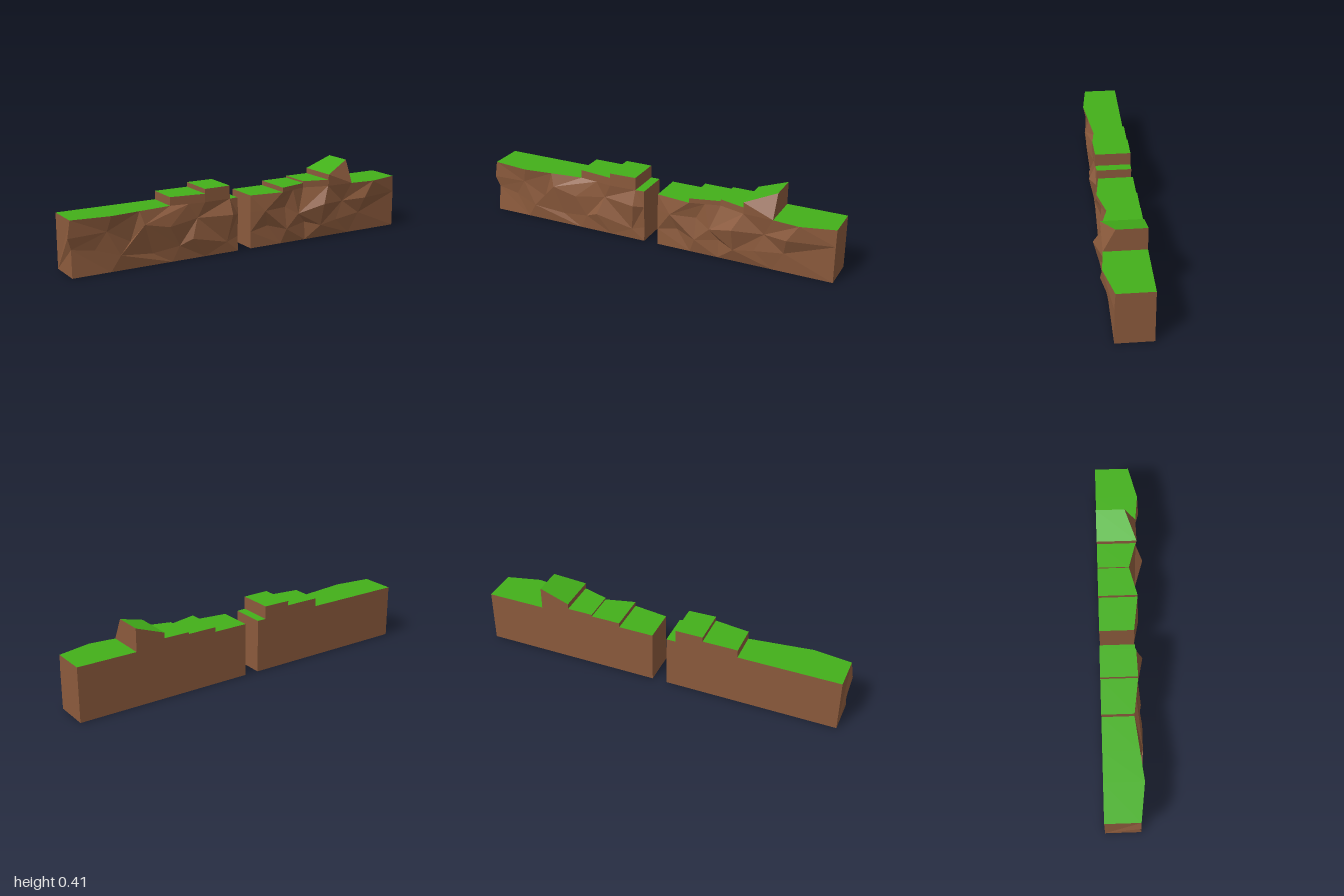
import * as THREE from 'three';

const BACK = -0.125, TOP = 0.29, FOOT = 0.065;
const earth = new THREE.MeshStandardMaterial({ color: 0x8b5a3c, flatShading: true });
const grass = new THREE.MeshStandardMaterial({ color: 0x43b01a, flatShading: true });

// Mesh from convex polygons, corners counter-clockwise seen from outside
function polyMesh(name, polys, material) {
  const pos = [];
  for (const p of polys)
    for (let i = 1; i < p.length - 1; i++) pos.push(...p[0], ...p[i], ...p[i + 1]);
  const geo = new THREE.BufferGeometry();
  geo.setAttribute('position', new THREE.Float32BufferAttribute(pos, 3));
  geo.computeVertexNormals();
  const mesh = new THREE.Mesh(geo, material);
  mesh.name = name;
  return mesh;
}

// Solid lofted through columns; each column lists its front points from bottom to top
function cliffSolid(name, columns) {
  const soil = [], turf = [];
  const back = (p) => [p[0], p[1], BACK];
  const last = columns[0].length - 1;
  for (let i = 0; i < columns.length - 1; i++) {
    const a = columns[i], b = columns[i + 1];
    for (let r = 0; r < last; r++) {
      if ((i + r) % 2) soil.push([a[r], b[r], b[r + 1], a[r + 1]]);
      else soil.push([b[r], b[r + 1], a[r + 1], a[r]]);
    }
    turf.push([a[last], b[last], back(b[last]), back(a[last])]);
    soil.push([back(b[0]), back(a[0]), back(a[last]), back(b[last])]);
    soil.push([back(a[0]), back(b[0]), b[0], a[0]]);
  }
  const s = columns[0], e = columns[columns.length - 1];
  soil.push([back(s[0]), ...s, back(s[last])]);
  soil.push([back(e[0]), back(e[last]), ...e.slice().reverse()]);
  const group = new THREE.Group();
  group.name = name;
  group.add(polyMesh(name + 'Earth', soil, earth), polyMesh(name + 'Grass', turf, grass));
  return group;
}

// Main block: [x, top z, upper x, y, z, lower x, y, z] per column
const block = (name, rows) => cliffSolid(name, rows.map(([x, zt, ux, uy, uz, lx, ly, lz]) =>
  [[x, 0, FOOT], [lx, ly, lz], [ux, uy, uz], [x, TOP, zt]]));

// Raised step: [x, height, base z, top z] at each side
const step = (name, sides) => cliffSolid(name, sides.map(([x, h, zb, zt]) =>
  [[x, TOP, zb], [x, h, zt]]));

export function createModel() {
  const model = new THREE.Group();
  model.name = 'cliffWall';

  model.add(block('leftBlock', [
    [-0.985, 0.06, -1.0, 0.2, 0.06, -0.98, 0.14, 0.05],
    [-0.78, 0.085, -0.8, 0.21, 0.07, -0.86, 0.12, 0.055],
    [-0.62, 0.066, -0.67, 0.14, 0.06, -0.73, 0.08, 0.075],
    [-0.44, 0.045, -0.6, 0.22, 0.083, -0.55, 0.06, 0.06],
    [-0.34, 0.058, -0.46, 0.19, 0.085, -0.4, 0.08, 0.07],
    [-0.25, 0.07, -0.29, 0.21, 0.06, -0.33, 0.11, 0.085],
    [-0.1, 0.065, -0.1, 0.21, 0.1, -0.12, 0.06, 0.07],
    [-0.05, 0.06, -0.05, 0.2, 0.065, -0.05, 0.08, 0.06],
  ]));
  model.add(block('rightBlock', [
    [0.03, 0.06, 0.03, 0.2, 0.062, 0.03, 0.09, 0.062],
    [0.22, 0.085, 0.11, 0.2, 0.085, 0.14, 0.11, 0.055],
    [0.3, 0.065, 0.25, 0.2, 0.06, 0.25, 0.08, 0.08],
    [0.38, 0.045, 0.33, 0.155, 0.075, 0.38, 0.1, 0.06],
    [0.52, 0.085, 0.47, 0.2, 0.122, 0.47, 0.075, 0.09],
    [0.68, 0.09, 0.63, 0.19, 0.07, 0.58, 0.09, 0.08],
    [0.82, 0.105, 0.76, 0.2, 0.11, 0.74, 0.11, 0.075],
    [1.0, 0.06, 1.0, 0.2, 0.065, 1.0, 0.115, 0.065],
  ]));

  // Grass-topped steps
  model.add(
    step('leftLowStep', [[-0.44, 0.335, 0.045, 0.045], [-0.25, 0.335, 0.07, 0.07]]),
    step('leftHighStep', [[-0.25, 0.36, 0.07, 0.07], [-0.1, 0.36, 0.065, 0.065]]),
    step('rightLowStep', [[0.22, 0.315, 0.085, 0.085], [0.38, 0.315, 0.045, 0.045]]),
    step('rightMiddleStep', [[0.38, 0.325, 0.045, 0.045], [0.52, 0.325, 0.085, 0.085]]),
    step('rightSlopedStep', [[0.52, 0.355, 0.085, 0.09], [0.68, 0.413, 0.09, 0.03]]),
  );
  return model;
}
